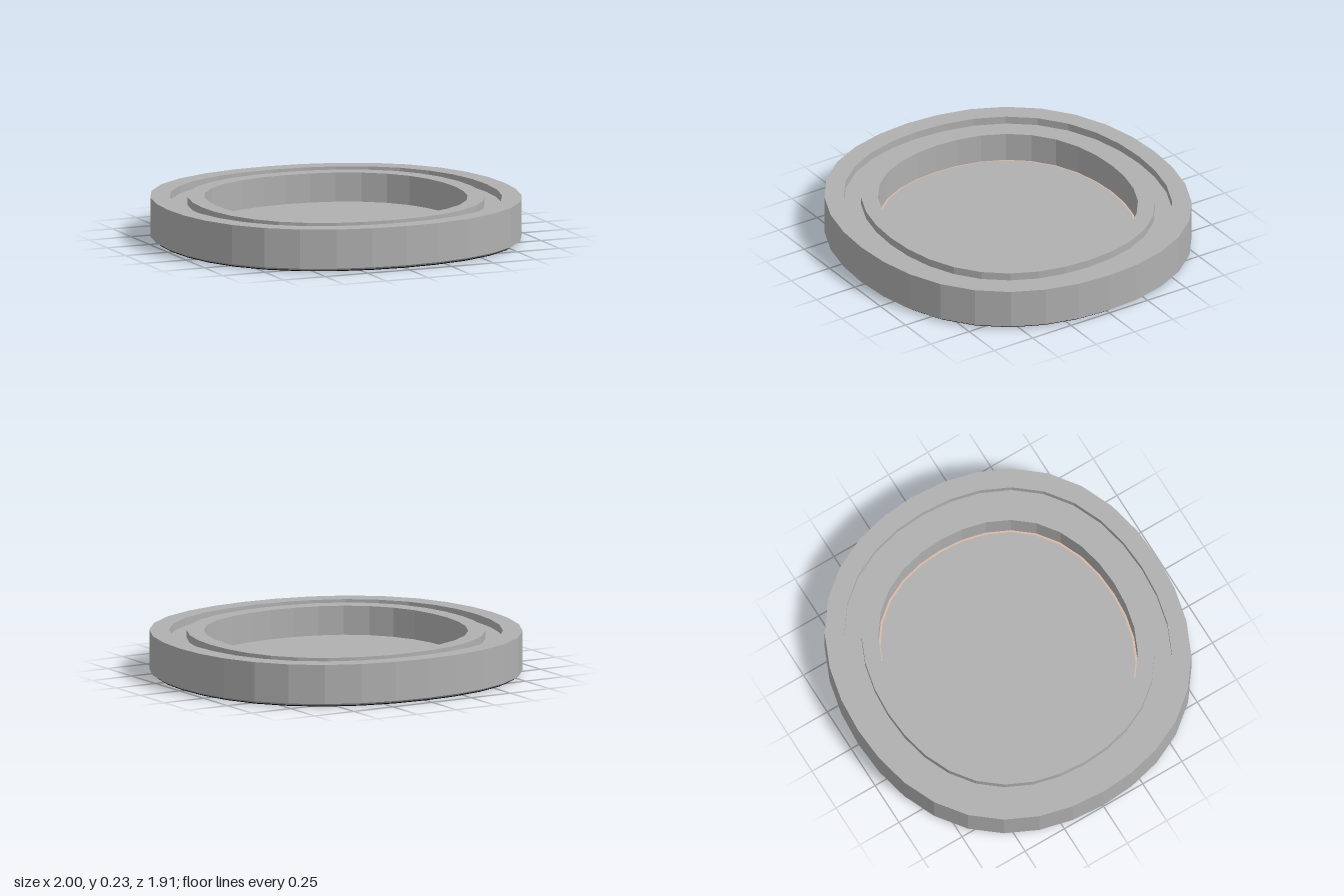
import * as THREE from 'three';

const SEGMENTS = 32;
const DEPTH = 0.957; // front-to-back size relative to the width

// Turns a profile of [radius, y] points into a faceted, slightly squared ring.
function squircleLathe(profile) {
  const points = profile.map(([r, y]) => new THREE.Vector2(r, y));
  const geometry = new THREE.LatheGeometry(points, SEGMENTS).toNonIndexed();
  const pos = geometry.attributes.position;
  for (let i = 0; i < pos.count; i++) {
    const x = pos.getX(i), z = pos.getZ(i);
    const bulge = 1 + 0.036 * Math.sin(2 * Math.atan2(z, x)) ** 2;
    pos.setXYZ(i, x * bulge, pos.getY(i), z * bulge * DEPTH);
  }
  geometry.computeVertexNormals();
  return geometry;
}

export function createModel() {
  const grey = new THREE.MeshStandardMaterial({ color: 0xb0b0b0 });
  grey.name = 'grey';
  const peach = new THREE.MeshStandardMaterial({ color: 0xdcb8a4 });
  peach.name = 'peach';
  const black = new THREE.MeshStandardMaterial({ color: 0x060606 });
  black.name = 'black';

  const group = new THREE.Group();
  group.name = 'dish';
  const add = (name, profile, material) => {
    const mesh = new THREE.Mesh(squircleLathe(profile), material);
    mesh.name = name;
    group.add(mesh);
  };

  // Body: chamfered foot, outer wall, rim with a groove, inner wall
  add('body', [
    [0, 0.006], [0.98, 0.006], [1, 0.018], [1, 0.235],
    [0.894, 0.235], [0.894, 0.192],
    [0.8, 0.192], [0.8, 0.235],
    [0.708, 0.235], [0.708, 0.07],
  ], grey);

  // Thin coloured seam showing around the floor
  add('floorSeam', [[0.708, 0.072], [0.68, 0.072]], peach);

  // Raised floor plate
  add('floor', [[0.696, 0.07], [0.696, 0.076], [0, 0.076]], grey);

  // Pad under the foot
  add('basePad', [[0, 0], [0.975, 0], [0.98, 0.006]], black);

  return group;
}
